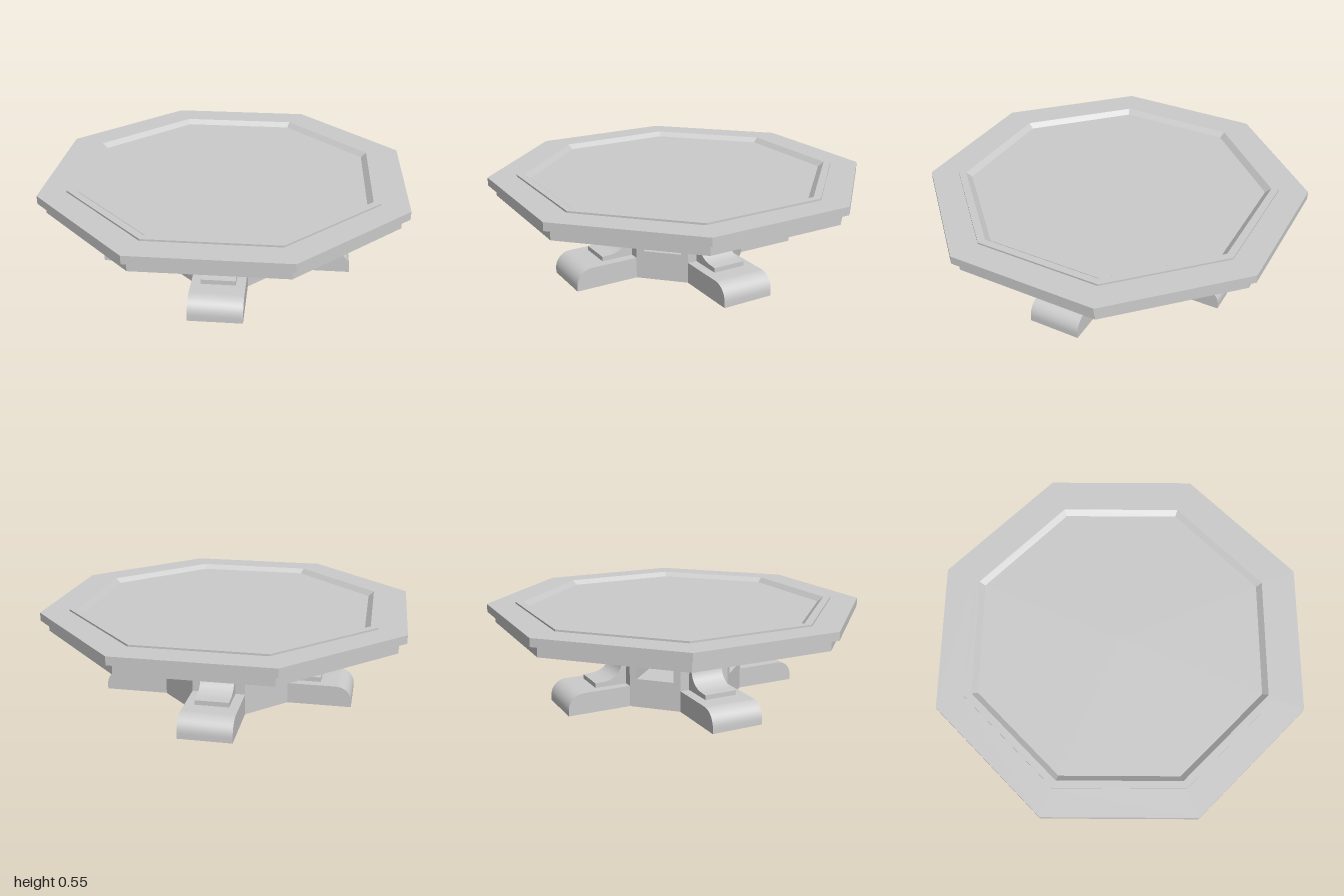
import * as THREE from 'three';
import { toCreasedNormals } from 'three/addons/utils/BufferGeometryUtils.js';

const solid = new THREE.MeshStandardMaterial({ color: 0xcccccc });
const thin = new THREE.MeshStandardMaterial({ color: 0xcccccc, side: THREE.DoubleSide });

const COLUMN = 0.36;                                  // centre to flat of the column
const FACE = 2 * COLUMN * Math.tan(Math.PI / 8);      // width of one column face
const TOP = 0.435, LEG_H = 0.12;
const WIN = { w: 0.215, y0: 0.165, y1: 0.393 };       // window openings

function add(parent, name, geometry, material) {
  const mesh = new THREE.Mesh(geometry, material);
  mesh.name = name;
  parent.add(mesh);
  return mesh;
}

// Eight-sided ring from [distance to flat, height] points
function octagon(points) {
  const k = 1 / Math.cos(Math.PI / 8);
  const profile = points.map(([r, y]) => new THREE.Vector2(r * k, y));
  const geo = new THREE.LatheGeometry(profile, 8, Math.PI / 8).toNonIndexed();
  geo.computeVertexNormals();
  return geo;
}

function rectPath(Type, w, y0, y1) {
  const p = new Type();
  p.moveTo(-w / 2, y0).lineTo(w / 2, y0).lineTo(w / 2, y1).lineTo(-w / 2, y1).closePath();
  return p;
}

// One column wall facing +z; diagonal walls have a window
function wall(diagonal) {
  const shape = rectPath(THREE.Shape, FACE, diagonal ? 0 : LEG_H, TOP);
  if (diagonal) shape.holes.push(rectPath(THREE.Path, WIN.w, WIN.y0, WIN.y1));
  return new THREE.ShapeGeometry(shape).translate(0, 0, COLUMN);
}

// Horizontal panel of the window passage
function panel(w, d, y, z) {
  return new THREE.PlaneGeometry(w, d).rotateX(-Math.PI / 2).translate(0, y, z);
}

// Hollow foot along +x, open underneath
function makeLeg() {
  const leg = new THREE.Group();
  leg.name = 'leg';
  const path = [new THREE.Vector2(COLUMN, LEG_H)];
  for (let i = 0; i <= 10; i++) {
    const a = Math.PI / 2 * (1 - i / 10);
    path.push(new THREE.Vector2(0.635 + 0.09 * Math.cos(a), 0.03 + 0.09 * Math.sin(a)));
  }
  path.push(new THREE.Vector2(0.725, 0));

  // top skin: a strip bent along the profile
  const skin = new THREE.PlaneGeometry(1, 1, path.length - 1, 1);
  const pos = skin.attributes.position;
  for (let i = 0; i < pos.count; i++) {
    const p = path[i % path.length];
    pos.setXYZ(i, p.x, p.y, -pos.getY(i) * FACE);
  }
  add(leg, 'legTop', toCreasedNormals(skin, 0.6), thin);

  const side = new THREE.Shape([new THREE.Vector2(COLUMN, 0), ...path]);
  for (const s of [-1, 1]) {
    add(leg, 'legSide', new THREE.ShapeGeometry(side), thin).position.z = s * FACE / 2;
  }

  // curved bracket between leg and column
  const b = new THREE.Shape();
  b.moveTo(COLUMN - 0.01, LEG_H);
  b.lineTo(0.545, LEG_H);
  b.lineTo(0.545, 0.146);
  b.lineTo(0.49, 0.148);
  b.bezierCurveTo(0.43, 0.155, 0.385, 0.185, 0.383, 0.265);
  b.lineTo(0.378, 0.275);
  b.lineTo(COLUMN - 0.01, 0.275);
  b.closePath();
  const bracket = new THREE.ExtrudeGeometry(b, { depth: 0.19, bevelEnabled: false, curveSegments: 12 });
  add(leg, 'bracket', toCreasedNormals(bracket.translate(0, 0, -0.095), 0.6), solid);
  return leg;
}

export function createModel() {
  const table = new THREE.Group();
  table.name = 'octagonalTable';

  // table top: apron, overhanging slab, raised rim and sunken panel
  add(table, 'tableTop', octagon([
    [0, 0.435], [0.96, 0.435], [0.96, 0.497], [1, 0.497], [1, 0.543], [0.85, 0.543],
    [0.85, 0.553], [0.81, 0.553], [0.78, 0.527], [0, 0.527],
  ]), solid);

  // hollow column
  for (let i = 0; i < 8; i++) {
    add(table, 'columnWall', wall(i % 2 === 1), thin).rotation.y = i * Math.PI / 4;
  }

  // crossing passages that join the four windows
  const half = WIN.w / 2, len = COLUMN - half, mid = half + len / 2;
  const passage = new THREE.Group();
  passage.name = 'windowPassage';
  table.add(passage);
  for (const y of [WIN.y0, WIN.y1]) add(passage, 'passageCentre', panel(WIN.w, WIN.w, y, 0), thin);
  for (let i = 0; i < 4; i++) {
    const arm = new THREE.Group();
    arm.name = 'passageArm';
    arm.rotation.y = Math.PI / 4 + i * Math.PI / 2;
    for (const y of [WIN.y0, WIN.y1]) add(arm, 'passagePanel', panel(WIN.w, len, y, mid), thin);
    for (const s of [-1, 1]) {
      const jamb = new THREE.PlaneGeometry(len, WIN.y1 - WIN.y0).rotateY(Math.PI / 2);
      add(arm, 'passageSide', jamb, thin).position.set(s * half, (WIN.y0 + WIN.y1) / 2, mid);
    }
    passage.add(arm);
  }

  // four legs
  for (let i = 0; i < 4; i++) {
    const leg = makeLeg();
    leg.rotation.y = i * Math.PI / 2;
    table.add(leg);
  }
  return table;
}
